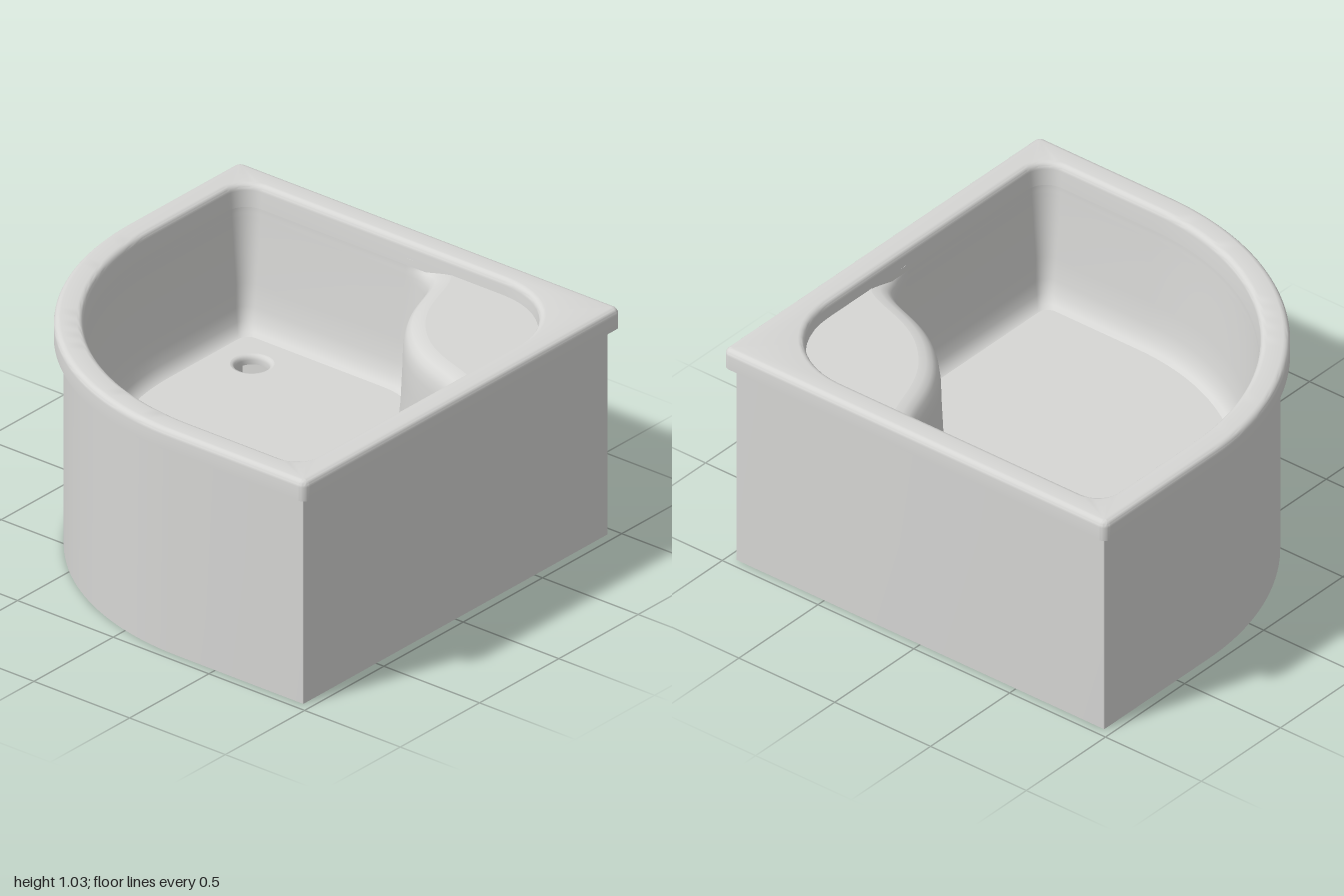
import * as THREE from 'three';
import { toCreasedNormals } from 'three/addons/utils/BufferGeometryUtils.js';

const lerp = THREE.MathUtils.lerp;

// Each contour is a list of functions: inset d -> [x, z]. All run the same way round.
function roundCorner(sx, sz, half, r, minR, startDeg, n) {
  return Array.from({ length: n + 1 }, (_, i) => (d) => {
    const a = THREE.MathUtils.degToRad(startDeg - (90 * i) / n);
    const rr = Math.max(r - d, minR);
    const c = half - d - rr;
    return [sx * c + rr * Math.cos(a), sz * c + rr * Math.sin(a)];
  });
}

function bowSide(half, n) {
  return Array.from({ length: n + 1 }, (_, i) => (d) => {
    const a = -Math.PI / 2 * (1 + i / n);
    const r = half + 0.3 - d;
    return [0.3 + r * Math.cos(a), 0.3 + r * Math.sin(a)];
  });
}

function threeSides(half, r, minR) {
  return [
    ...roundCorner(1, -1, half, r, minR, 0, 8),
    ...bowSide(half, 40),
    ...roundCorner(-1, 1, half, r, minR, 180, 8),
  ];
}

// Half of the S-shaped seat edge; the other half is its mirror across x = z
function seatHalf(t, d) {
  const p = [[-0.02 - 0.5 * d, 0.88 - d], [0.29 - 0.9 * d, 0.88 - d],
    [0.14 - 0.9 * d, 0.645 - 0.5 * d], [0.395 - 0.707 * d, 0.395 - 0.707 * d]];
  const u = 1 - t;
  const b = [u * u * u, 3 * u * u * t, 3 * u * t * t, t * t * t];
  return [0, 1].map((k) => b.reduce((s, w, i) => s + w * p[i][k], 0));
}

const SEAT_STEPS = 48;
const seatEdge = Array.from({ length: SEAT_STEPS + 1 }, (_, i) => {
  const t = (2 * i) / SEAT_STEPS;
  const f = t <= 1 ? (d) => seatHalf(t, d) : (d) => seatHalf(2 - t, d).reverse();
  f.seat = THREE.MathUtils.smoothstep(Math.min(t, 2 - t), 0, 0.35);
  return f;
});

const outer = [...threeSides(1, 0.035, 0.004), ...roundCorner(1, 1, 1, 0.035, 0.004, 90, 12)];
const seatCorner = roundCorner(1, 1, 0.88, 0.4, 0.05, 90, 12);
const inner = [...threeSides(0.88, 0.1, 0.05), ...seatCorner];
const pan = [...threeSides(0.88, 0.1, 0.05), ...seatEdge];

// Row of 3D points; seat points may follow their own inset and height
function row(contour, d, y, seatD = d, seatY = y) {
  return contour.map((f) => {
    const w = f.seat || 0;
    const [x, z] = f(lerp(d, seatD, w));
    return [x, lerp(y, seatY, w), z];
  });
}

// Closed skin through rows; rows running down face outwards, rows running up face inwards
function loft(rows, crease) {
  const n = rows[0].length;
  const index = [];
  for (let k = 0; k < rows.length - 1; k++) {
    for (let j = 0; j < n; j++) {
      const a = k * n + j, b = k * n + (j + 1) % n;
      index.push(a, a + n, b, b, a + n, b + n);
    }
  }
  const g = new THREE.BufferGeometry();
  g.setAttribute('position', new THREE.Float32BufferAttribute(rows.flat(2), 3));
  g.setIndex(index);
  return toCreasedNormals(g, crease);
}

// Flat horizontal plate facing up (dir 1) or down (dir -1)
function plate(points, y, dir, hole) {
  const flat = (list) => list.map(([x, z]) => new THREE.Vector2(x, -dir * z));
  const shape = new THREE.Shape(flat(points));
  if (hole) shape.holes.push(new THREE.Path(flat(hole)));
  return new THREE.ShapeGeometry(shape).rotateX(-dir * Math.PI / 2).translate(0, y, 0);
}

export function createModel() {
  const group = new THREE.Group();
  group.name = 'cornerTub';
  const enamel = new THREE.MeshStandardMaterial({ color: 0xd6d6d4 });
  enamel.name = 'greyEnamel';
  const add = (name, geometry) => {
    const m = new THREE.Mesh(geometry, enamel);
    m.name = name;
    group.add(m);
    return m;
  };

  // Rim: inner lip up, rounded over the flat top, down the outer lip and back under
  const round = [0, 1, 2, 3, 4, 5].map((i) => (i / 5) * Math.PI / 2);
  const R = 0.028;
  add('rim', loft([
    row(inner, 0.006, 0.93),
    ...round.map((a) => row(inner, R * (Math.cos(a) - 1), 1.002 + R * Math.sin(a))),
    ...round.map((a) => row(outer, R * (1 - Math.sin(a)), 1.002 + R * Math.cos(a))),
    row(outer, 0, 0.94),
    row(outer, 0.015, 0.94),
    row(outer, 0.015, 0.99),
    row(outer, 0.04, 0.99),
  ], 0.6));

  // Skirt: outside wall, bottom edge and inside wall
  add('skirt', loft([
    row(outer, 0.04, 0.99), row(outer, 0.04, 0),
    row(outer, 0.105, 0), row(outer, 0.105, 0.925),
  ], 0.15));

  // Basin wall, floor fillet to top, with a rounded seat nose
  add('basinWall', loft([
    row(pan, 0.1, 0.4), row(pan, 0.08, 0.41), row(pan, 0.06, 0.445),
    row(pan, 0.045, 0.5), row(pan, 0.035, 0.6), row(pan, 0.02, 0.75, 0.028, 0.75),
    row(pan, 0.011, 0.86, 0.025, 0.85),
    row(pan, 0.009, 0.885, 0.019, 0.895),
    row(pan, 0.008, 0.9, 0.008, 0.925),
    row(pan, 0.007, 0.91, -0.01, 0.945),
    row(pan, 0.0065, 0.92, -0.035, 0.956),
    row(pan, 0.006, 0.93, -0.065, 0.96),
  ], 0.9));

  // Corner seat, tucked under the rim at the back
  const seatFront = seatEdge.map((f) => f(lerp(0.006, -0.065, f.seat)));
  const seatBack = seatCorner.map((f) => f(-0.07)).reverse();
  add('seat', plate([...seatFront, ...seatBack], 0.96, 1));

  // Floor with drain hole
  const circle = (r) => Array.from({ length: 32 }, (_, i) => {
    const a = (i / 32) * Math.PI * 2;
    return [0.6 + r * Math.cos(a), -0.6 + r * Math.sin(a)];
  });
  add('floor', plate(pan.map((f) => f(0.1)), 0.4, 1, circle(0.09)));
  const drainProfile = [[0.09, 0.4], [0.081, 0.398], [0.074, 0.391], [0.07, 0.38], [0.07, 0.36]]
    .map(([r, y]) => new THREE.Vector2(r, y));
  add('drain', new THREE.LatheGeometry(drainProfile, 32)).position.set(0.6, 0, -0.6);

  // Underside of the basin
  add('basinUnderside', loft([
    row(pan, -0.012, 0.925, -0.005, 0.925), row(pan, 0, 0.75), row(pan, 0.01, 0.56),
    row(pan, 0.025, 0.45), row(pan, 0.045, 0.395), row(pan, 0.065, 0.37), row(pan, 0.09, 0.36),
  ], 0.9));
  add('floorUnderside', plate(pan.map((f) => f(0.09)), 0.36, -1, circle(0.07)));
  add('seatUnderside', plate(outer.map((f) => f(0.1)), 0.925, -1, pan.map((f) => f(0.005))));

  return group;
}
